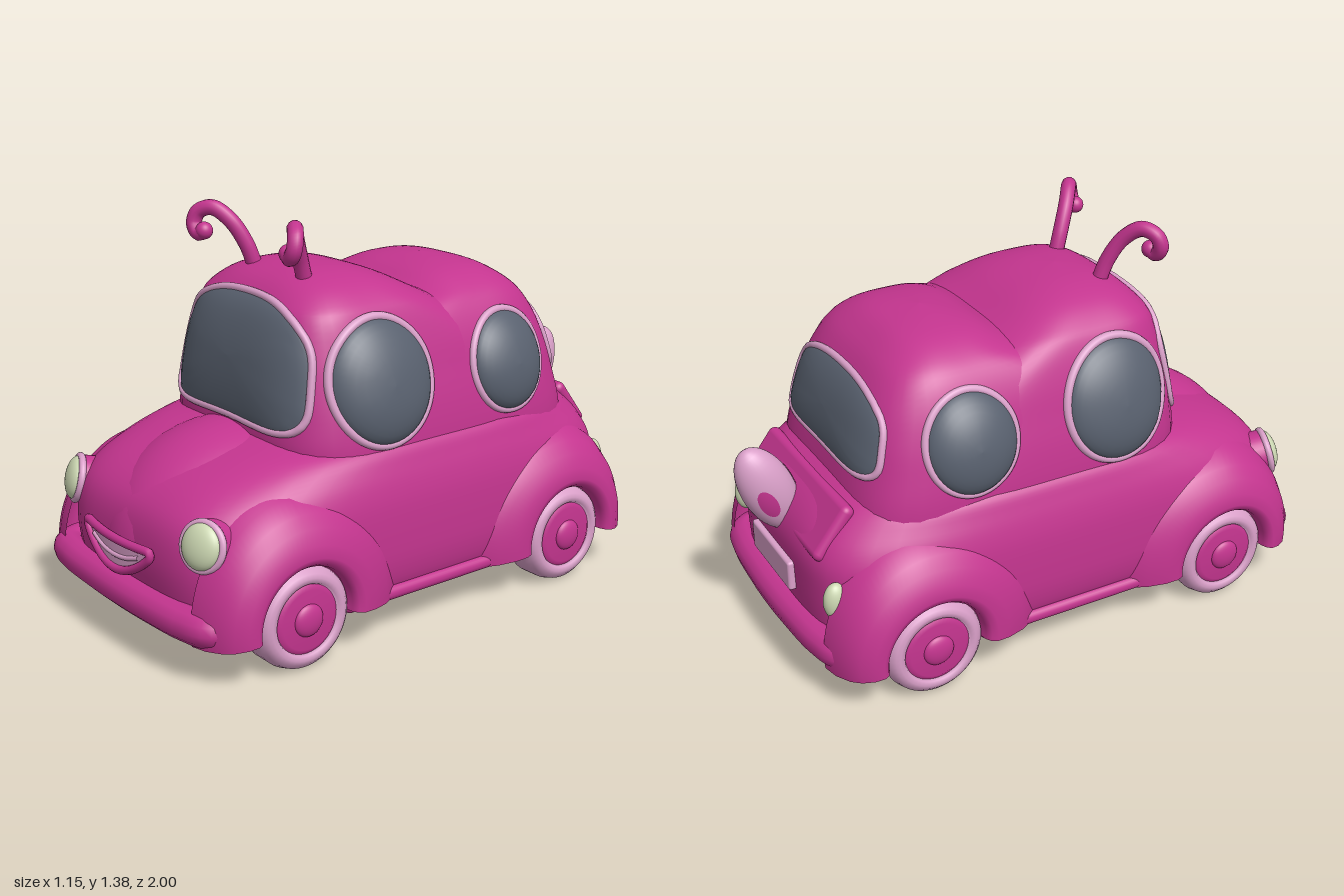
import * as THREE from 'three';
import { RoundedBoxGeometry } from 'three/addons/geometries/RoundedBoxGeometry.js';

const mat = (name, color) => {
  const m = new THREE.MeshStandardMaterial({ color, side: THREE.DoubleSide });
  m.name = name;
  return m;
};
const V = (x, y, z) => new THREE.Vector3(x, y, z);

export function createModel() {
  const pink = mat('magenta paint', 0xc4358f);
  const pale = mat('pale pink', 0xdaa0c9);
  const glass = mat('grey glass', 0x59616f);
  const cream = mat('cream lamp', 0xccd7b2);
  const car = new THREE.Group();
  car.name = 'car';

  const add = (name, geo, material, pos = [0, 0, 0], parent = car) => {
    const m = new THREE.Mesh(geo, material);
    m.name = name;
    m.position.set(...pos);
    parent.add(m);
    return m;
  };
  const ball = (sx, sy, sz) => new THREE.SphereGeometry(1, 32, 20).scale(sx, sy, sz);
  const tube = (pts, r, closed = false, seg = 64) =>
    new THREE.TubeGeometry(new THREE.CatmullRomCurve3(pts, closed), seg, r, 12, closed);

  // Grid of points (rows x cols) to a smooth surface, closed around each row
  const surface = (rows) => {
    const n = rows[0].length, pos = [], idx = [];
    rows.forEach((row) => row.forEach((p) => pos.push(p.x, p.y, p.z)));
    for (let i = 0; i < rows.length - 1; i++)
      for (let j = 0; j < n; j++) {
        const a = i * n + j, b = i * n + ((j + 1) % n);
        idx.push(a, a + n, b, b, a + n, b + n);
      }
    const g = new THREE.BufferGeometry();
    g.setAttribute('position', new THREE.Float32BufferAttribute(pos, 3));
    g.setIndex(idx);
    g.computeVertexNormals();
    return g;
  };

  // Horizontal rounded sections; level = [y, half width, front z, back z, squareness]
  const stack = (levels) => {
    const a = new THREE.CatmullRomCurve3(levels.map((l) => V(l[0], l[1], l[4])), false, 'catmullrom');
    const b = new THREE.CatmullRomCurve3(levels.map((l) => V(l[2], l[3], 0)), false, 'catmullrom');
    const rows = [];
    const steps = (levels.length - 1) * 4;
    for (let i = 0; i <= steps; i++) {
      const p = a.getPoint(i / steps), q = b.getPoint(i / steps), row = [];
      const mid = (q.x + q.y) / 2, half = (q.x - q.y) / 2;
      for (let j = 0; j < 72; j++) {
        const t = (j / 72) * Math.PI * 2, c = Math.cos(t), s = Math.sin(t);
        const r = (Math.abs(c) ** p.z + Math.abs(s) ** p.z) ** (-1 / p.z);
        row.push(V(p.y * r * c, p.x, mid + half * r * s));
      }
      rows.push(row);
    }
    rows.unshift(rows[0].map((p) => V(0, p.y, 0)));
    return surface(rows);
  };

  // Lower body and two-humped cabin
  const body = add('lowerBody', stack([
    [0.13, 0.47, 0.87, -0.84, 4.5], [0.17, 0.51, 0.91, -0.87, 4.5], [0.25, 0.528, 0.93, -0.88, 4.5],
    [0.35, 0.53, 0.937, -0.885, 4.5], [0.45, 0.525, 0.92, -0.885, 4.4], [0.52, 0.513, 0.875, -0.865, 4.1],
    [0.58, 0.495, 0.79, -0.825, 3.7], [0.63, 0.475, 0.66, -0.77, 3.5], [0.66, 0.44, 0.54, -0.72, 3.5],
    [0.69, 0.4, 0.45, -0.66, 3.5],
  ]), pink);
  const frontHump = add('frontCabin', stack([
    [0.55, 0.47, 0.5, -0.55, 4.5], [0.65, 0.467, 0.517, -0.55, 4.5], [0.75, 0.453, 0.508, -0.5, 4.5],
    [0.85, 0.43, 0.497, -0.45, 4.5], [0.95, 0.405, 0.48, -0.38, 4.4], [1.05, 0.37, 0.45, -0.2, 4.2],
    [1.1, 0.335, 0.42, -0.1, 3.8], [1.15, 0.26, 0.365, 0, 3.2], [1.18, 0.15, 0.29, 0.1, 2.7],
    [1.19, 0, 0.2, 0.2, 2.5],
  ]), pink);
  const rearHump = add('rearCabin', stack([
    [0.55, 0.465, 0.3, -0.73, 4.5], [0.65, 0.462, 0.3, -0.715, 4.5], [0.75, 0.448, 0.3, -0.69, 4.5],
    [0.85, 0.428, 0.3, -0.665, 4.5], [0.95, 0.4, 0.25, -0.63, 4.3], [1.03, 0.36, 0.05, -0.58, 4],
    [1.08, 0.31, -0.1, -0.53, 3.5], [1.12, 0.23, -0.18, -0.47, 3], [1.14, 0.13, -0.25, -0.4, 2.6],
    [1.15, 0, -0.32, -0.32, 2.5],
  ]), pink);
  const dome = new THREE.SphereGeometry(1, 40, 16, 0, Math.PI * 2, 0, Math.PI / 2);
  add('hood', dome.scale(0.39, 0.375, 0.452), pink, [0, 0.315, 0.5]);
  add('sill', new RoundedBoxGeometry(1.065, 0.05, 0.8, 3, 0.024), pink, [0, 0.155, 0.02]);
  const lid = add('trunkLid', new RoundedBoxGeometry(0.64, 0.21, 0.05, 4, 0.024), pink, [0, 0.562, -0.797]);
  lid.rotation.x = 0.66;

  // Bulging pane and frame laid onto the body along a view direction
  const ray = new THREE.Raycaster();
  const pane = (name, dir, outline, bulge, frame) => {
    const hit = (a, b) => {
      const from = dir.x ? V(dir.x * 2, b, a) : V(a, b, dir.z * 2);
      ray.set(from, dir.clone().negate());
      const h = ray.intersectObjects([frontHump, rearHump, body], false)[0];
      return h ? h.point : from.multiplyScalar(0.2);
    };
    const ringAt = (k, n) => Array.from({ length: n }, (_, j) => hit(...outline(k, (j / n) * Math.PI * 2)));
    const rows = [];
    for (let i = 0; i <= 8; i++) {
      const k = Math.sin((i / 8) * Math.PI / 2);
      rows.push(ringAt(k, 48).map((p) => p.addScaledVector(dir, 0.006 + bulge * (1 - k * k) ** 0.6)));
    }
    add(name + 'Glass', surface(rows), glass);
    add(name + 'Frame', tube(ringAt(1.02, 48), frame, true, 96), pale);
  };
  const sp = (v, e) => Math.sign(v) * Math.abs(v) ** e;
  // Wide pane with rounder top corners and a gently arched base
  const screen = (cy, hh, hw, taper, arch) => (k, t) => {
    const e = Math.sin(t) > 0 ? 0.68 : 0.45;
    const s = sp(Math.sin(t), e), x = k * (hw - taper * s) * sp(Math.cos(t), e);
    return [x, cy + k * hh * s - arch * x * x];
  };
  const oval = (cz, cy, rz, ry) => (k, t) => [cz + k * rz * Math.cos(t), cy + k * ry * Math.sin(t)];
  pane('windshield', V(0, 0, 1), screen(0.908, 0.197, 0.35, 0.022, 0.22), 0.02, 0.014);
  pane('rearWindow', V(0, 0, -1), screen(0.865, 0.13, 0.325, 0.025, 0.15), 0.02, 0.013);
  for (const s of [1, -1]) {
    pane('frontSideWindow', V(s, 0, 0), oval(0.195, 0.855, 0.19, 0.2), 0.06, 0.016);
    pane('rearSideWindow', V(s, 0, 0), oval(-0.355, 0.835, 0.155, 0.165), 0.06, 0.014);
  }

  // Wheels and fenders
  const lathe = (pts, start = 0, len = Math.PI * 2) =>
    new THREE.LatheGeometry(pts.map((p) => new THREE.Vector2(...p)), 48, start, len).rotateZ(-Math.PI / 2);
  const tire = lathe([[0, -0.08], [0.125, -0.085], [0.15, -0.08], [0.168, -0.065], [0.177, -0.035], [0.177, 0.035],
    [0.168, 0.065], [0.152, 0.08], [0.138, 0.085], [0.122, 0.083], [0.115, 0.07], [0, 0.07]]);
  // Arch that is short toward the bumper and fades out long toward the doors
  const fender = (bumperSide) => {
    const g = lathe([[0.165, 0.48], [0.178, 0.552], [0.19, 0.57], [0.21, 0.577], [0.25, 0.57], [0.3, 0.547],
      [0.34, 0.515], [0.38, 0.46], [0.4, 0.4]], Math.PI - 0.12, Math.PI + 0.24);
    const p = g.attributes.position;
    for (let i = 0; i < p.count; i++) {
      const z = p.getZ(i), f = Math.max(0, (Math.hypot(p.getY(i), z) - 0.18) / 0.22);
      p.setZ(i, z * (1 + f * (z * bumperSide > 0 ? -0.15 : 0.15)));
    }
    g.computeVertexNormals();
    return g;
  };
  for (const s of [1, -1])
    for (const [label, z, end] of [['front', 0.595, 1], ['rear', -0.555, -1]]) {
      const g = new THREE.Group();
      g.name = label + 'Wheel';
      g.position.set(0, 0.177, z);
      g.rotation.y = s > 0 ? 0 : Math.PI;
      car.add(g);
      add('tire', tire, pale, [0.47, 0, 0], g);
      add('hubDisc', lathe([[0, 0.012], [0.1, 0.012], [0.118, 0]]), pink, [0.543, 0, 0], g);
      add('hubCap', ball(0.022, 0.055, 0.055), pink, [0.553, 0, 0], g);
      add('fender', fender(s * end), pink, [0, 0, 0], g);
    }

  // Bumpers wrap around the corners
  const bumper = (name, z, w, f) => {
    const half = [[w, z - f * 0.095], [w - 0.025, z - f * 0.045], [w - 0.12, z - f * 0.018], [w - 0.3, z - f * 0.004]];
    const pts = [...half.map(([x, q]) => V(-x, 0.187, q)), V(0, 0.187, z),
      ...half.reverse().map(([x, q]) => V(x, 0.187, q))];
    add(name, tube(pts, 0.058), pink);
    for (const s of [1, -1]) add(name + 'End', ball(0.058, 0.058, 0.058), pink, [s * w, 0.187, z - f * 0.095]);
  };
  bumper('frontBumper', 0.937, 0.465, 1);
  bumper('rearBumper', -0.885, 0.445, -1);

  // Smiling mouth: crescent plate, rounded lips and a ridge
  const bend = (x) => 0.968 - 0.5 * x * x;
  const lip = (k, t) => {
    const x = 0.195 * k * Math.cos(t);
    const top = 0.376 + 0.5 * x * x, low = 0.27 + 1.9 * x * x;
    return V(x, (top + low) / 2 + k * ((top - low) / 2) * sp(Math.sin(t), 0.6), bend(x));
  };
  const ring = (k) => Array.from({ length: 48 }, (_, j) => lip(k, (j / 48) * Math.PI * 2));
  add('mouth', surface([0.01, 0.3, 0.6, 1].map(ring)), pale);
  add('lips', tube(ring(1), 0.015, true, 96), pink);
  add('mouthRidge', tube([-0.14, -0.07, 0, 0.07, 0.14].map((x) => V(x, 0.318 + 1.3 * x * x, bend(x))), 0.008), pale);

  for (const s of [1, -1]) {
    // Headlamps, tail lamps
    const lamp = new THREE.Group();
    lamp.name = 'headlamp';
    lamp.position.set(s * 0.39, 0.445, 0.872);
    lamp.rotation.set(-0.25, s * 0.35, 0);
    car.add(lamp);
    add('lens', ball(0.072, 0.075, 0.035), cream, [0, 0, 0.012], lamp);
    add('rim', new THREE.TorusGeometry(0.075, 0.013, 10, 40), pale, [0, 0, 0.005], lamp);
    add('rimBase', new THREE.CylinderGeometry(0.08, 0.085, 0.07, 32).rotateX(Math.PI / 2), pink, [0, 0, -0.035], lamp);
    add('tailLamp', ball(0.034, 0.067, 0.043), cream, [s * 0.39, 0.37, -0.838]);
    // Curled antennae
    const curl = [[0.14, 1.14, 0.29], [0.153, 1.23, 0.32], [0.185, 1.31, 0.36], [0.235, 1.352, 0.4],
      [0.278, 1.335, 0.43], [0.287, 1.295, 0.442], [0.262, 1.265, 0.44], [0.238, 1.278, 0.432]];
    add('antenna', tube(curl.map(([x, y, z]) => V(s * x, y, z)), 0.027), pink);
    add('antennaTip', ball(0.03, 0.03, 0.03), pink, [s * 0.24, 1.276, 0.432]);
  }

  // Rear plate and spotted tail
  add('rearPlate', new RoundedBoxGeometry(0.32, 0.11, 0.03, 3, 0.01), pale, [0, 0.345, -0.892]);
  const tail = new THREE.Group();
  tail.name = 'tail';
  tail.position.set(0, 0.605, -0.898);
  tail.rotation.x = -0.42;
  car.add(tail);
  add('tailLeaf', ball(0.07, 0.175, 0.09), pale, [0, 0, 0], tail);
  const spot = (size, tilt, turn) => add('tailSpot', new THREE.SphereGeometry(1, 20, 6, 0, Math.PI * 2, 0, size)
    .rotateZ(tilt).rotateY(turn).scale(0.072, 0.178, 0.092), pink, [0, 0, 0], tail);
  spot(0.34, 1.65, -0.35);
  spot(0.3, -1.6, -Math.PI / 2);
  return car;
}
